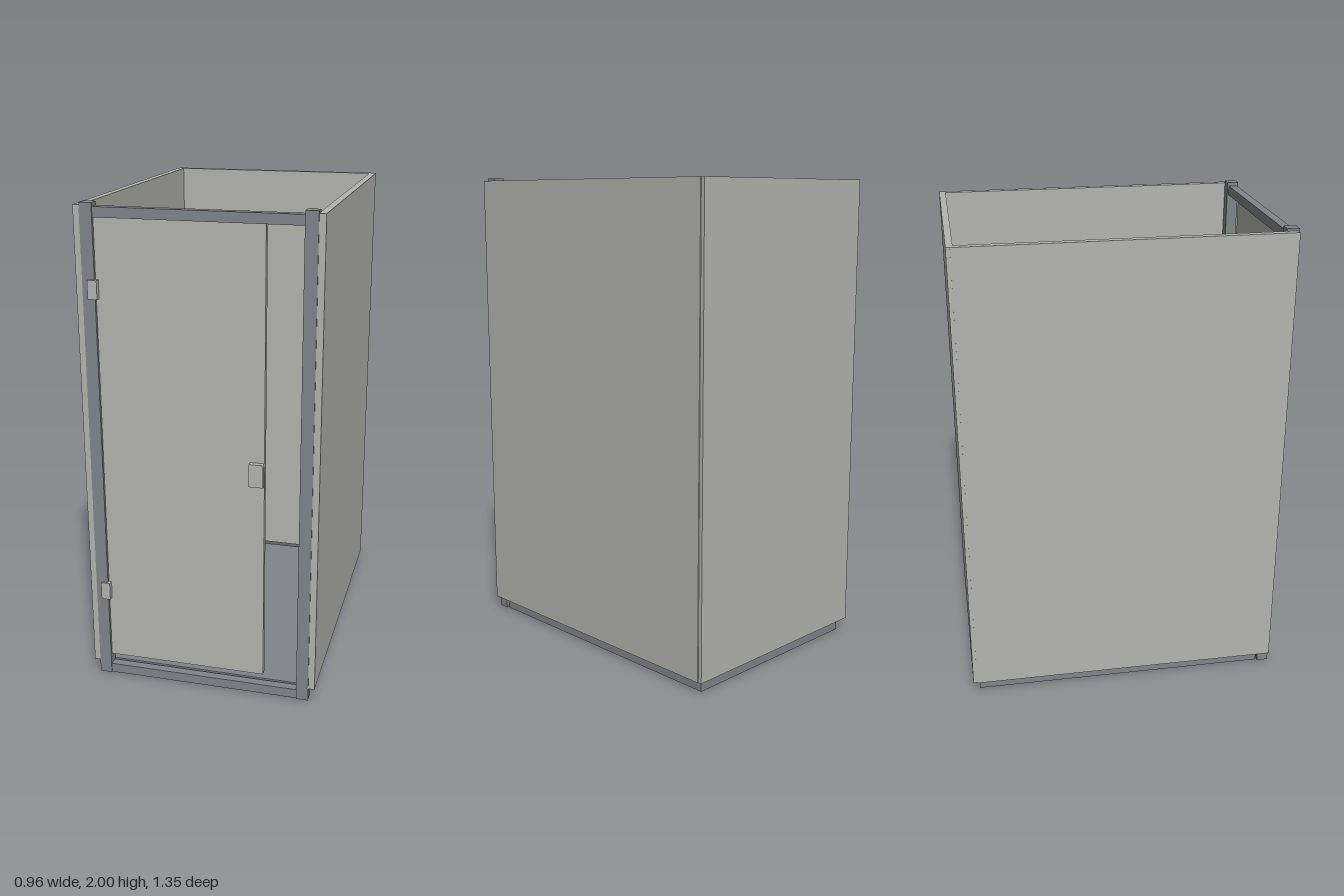
import * as THREE from 'three';

export function createModel() {
  const model = new THREE.Group();
  model.name = 'cubicle';
  const panel = new THREE.MeshStandardMaterial({ name: 'light grey panel', color: 0xb4b4b0 });
  const frame = new THREE.MeshStandardMaterial({ name: 'slate grey frame', color: 0x81858a });

  // Box given by its extents on each axis
  const box = (name, mat, [x0, x1], [y0, y1], [z0, z1]) => {
    const mesh = new THREE.Mesh(new THREE.BoxGeometry(x1 - x0, y1 - y0, z1 - z0), mat);
    mesh.position.set((x0 + x1) / 2, (y0 + y1) / 2, (z0 + z1) / 2);
    mesh.name = name;
    model.add(mesh);
  };

  // Floor slab
  box('floor', frame, [-0.445, 0.445], [0, 0.04], [-0.645, 0.61]);

  // Back wall, with the side walls butting against it
  const wallY = [0.053, 1.99];
  box('backWall', panel, [-0.475, 0.475], wallY, [-0.673, -0.646]);
  box('leftWall', panel, [0.45, 0.479], wallY, [-0.657, 0.66]);
  box('rightWall', panel, [-0.479, -0.45], wallY, [-0.657, 0.66]);

  // Front frame: posts, header and sill
  box('leftPost', frame, [0.403, 0.453], [0, 2], [0.616, 0.664]);
  box('rightPost', frame, [-0.453, -0.403], [0, 2], [0.616, 0.664]);
  box('header', frame, [-0.403, 0.403], [1.945, 1.985], [0.622, 0.659]);
  box('sill', frame, [-0.403, 0.403], [0, 0.04], [0.622, 0.659]);

  // Door, hung on the right post and leaving a gap at its free edge
  box('door', panel, [-0.403, 0.26], [0.085, 1.945], [0.626, 0.651]);
  box('handle', panel, [0.202, 0.259], [0.928, 1.022], [0.651, 0.673]);
  for (const y of [0.393, 1.672]) {
    box('hinge', panel, [-0.43, -0.392], [y - 0.037, y + 0.037], [0.651, 0.673]);
  }
  return model;
}
